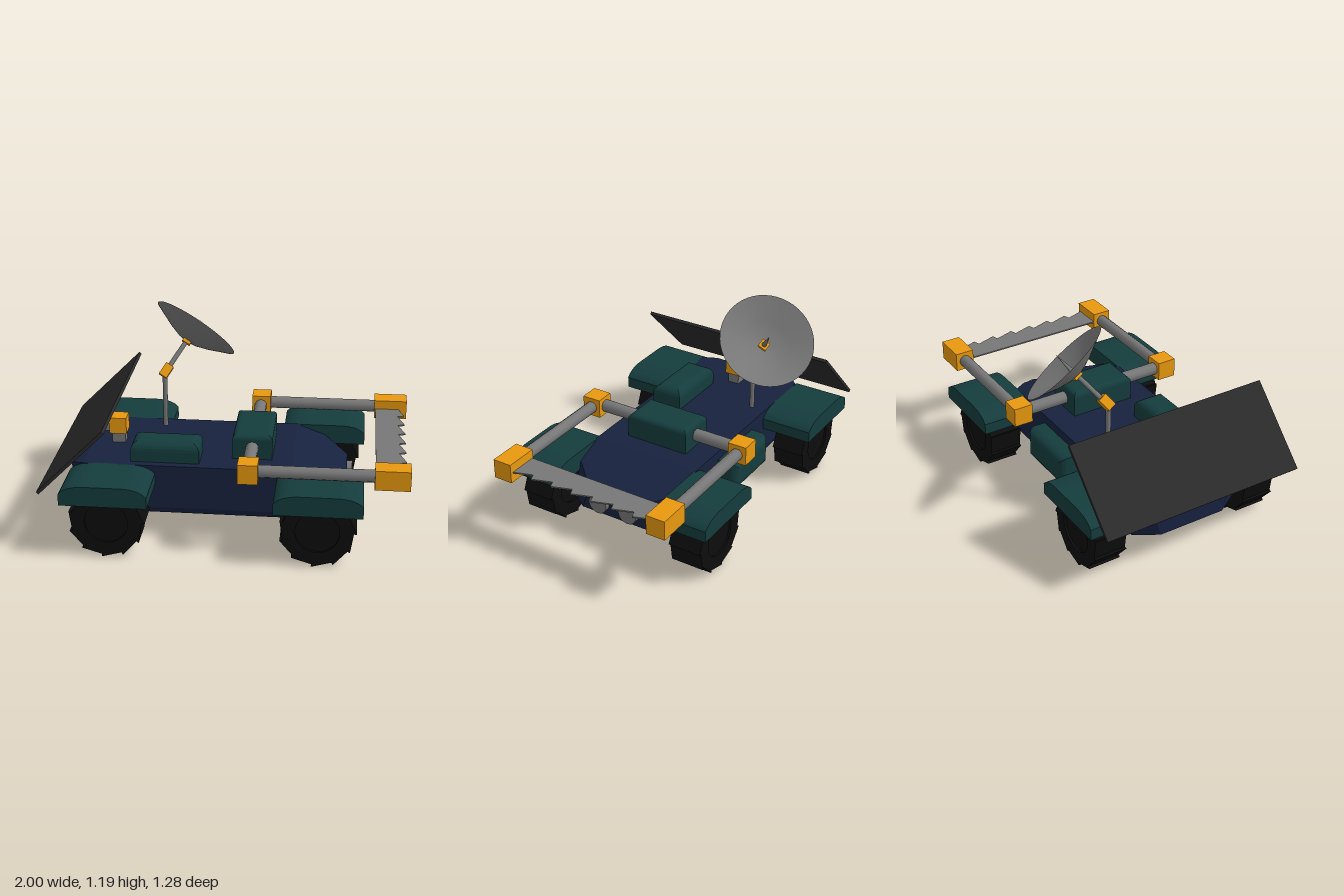
import * as THREE from 'three';
import { ConvexGeometry } from 'three/addons/geometries/ConvexGeometry.js';

const material = (color, side = THREE.FrontSide) =>
  new THREE.MeshStandardMaterial({ color, side });
const navy = material(0x17223f), teal = material(0x153c3d), orange = material(0xe8990f);
const grey = material(0x777777), dark = material(0x2a2a2a), rubber = material(0x0d0d0d);
const dishGrey = material(0x777777, THREE.DoubleSide);
const UP = new THREE.Vector3(0, 1, 0);

export function createModel() {
  const model = new THREE.Group();
  model.name = 'rover';

  const add = (name, geometry, mat, x = 0, y = 0, z = 0, parent = model) => {
    const mesh = new THREE.Mesh(geometry, mat);
    mesh.name = name;
    mesh.position.set(x, y, z);
    parent.add(mesh);
    return mesh;
  };
  const box = (name, mat, w, h, d, x, y, z, parent) =>
    add(name, new THREE.BoxGeometry(w, h, d), mat, x, y, z, parent);

  // Cylinder between two points
  const rod = (name, a, b, r, sides = 10) => {
    const from = new THREE.Vector3(...a), to = new THREE.Vector3(...b);
    const dir = to.clone().sub(from);
    const mesh = add(name, new THREE.CylinderGeometry(r, r, dir.length(), sides), grey);
    mesh.position.copy(from).add(to).multiplyScalar(0.5);
    mesh.quaternion.setFromUnitVectors(UP, dir.normalize());
    return mesh;
  };

  const polygon = (points) => new THREE.Shape(points.map((p) => new THREE.Vector2(...p)));

  // Box with rounded upper edges, top at y = 0; the lower bevel sits inside the hull
  const pod = (w, d, h, inset, round) => {
    const a = w / 2 - inset, b = d / 2 - inset;
    const g = new THREE.ExtrudeGeometry(polygon([[-a, -b], [a, -b], [a, b], [-a, b]]), {
      depth: h, bevelSize: inset, bevelThickness: round, bevelSegments: 5,
    });
    return g.rotateX(-Math.PI / 2).translate(0, -h - round, 0);
  };

  // Hull with chamfered nose and tail
  const hullPoints = [];
  for (const s of [-1, 1]) {
    for (const [x, y, z] of [
      [-0.88, 0.19, 0.2], [-0.88, 0.42, 0.27], [-0.8, 0.445, 0.33], [-0.8, 0.19, 0.33],
      [-0.7, 0.155, 0.32], [0.36, 0.445, 0.33], [0.52, 0.385, 0.33], [0.66, 0.335, 0.17],
      [0.66, 0.19, 0.22], [0.58, 0.19, 0.33], [0.5, 0.155, 0.32],
    ]) hullPoints.push(new THREE.Vector3(x, y, z * s));
  }
  add('hull', new ConvexGeometry(hullPoints), navy);

  // Headlights
  for (const z of [-0.097, 0.097]) {
    const lamp = add('headlight', new THREE.CylinderGeometry(0.057, 0.057, 0.05, 24), grey, 0.665, 0.265, z);
    lamp.rotation.z = -Math.PI / 2;
  }

  // Wheels with stepped treads, hubs and axles
  const tread = [];
  const teeth = 11;
  for (let i = 0; i < teeth; i++) {
    const a = (i / teeth) * Math.PI * 2, b = a + (Math.PI * 2) / teeth;
    tread.push([Math.cos(a) * 0.212, Math.sin(a) * 0.212], [Math.cos(b) * 0.196, Math.sin(b) * 0.196]);
  }
  const tyreShape = polygon(tread);
  tyreShape.holes.push(new THREE.Path().absarc(0, 0, 0.12, 0, Math.PI * 2, true));
  const tyre = new THREE.ExtrudeGeometry(tyreShape, { depth: 0.19, bevelEnabled: false, curveSegments: 20 })
    .translate(0, 0, -0.095);
  const hub = new THREE.CylinderGeometry(0.121, 0.121, 0.165, 24).rotateX(Math.PI / 2);
  for (const x of [-0.635, 0.515]) {
    rod('axle', [x, 0.21, -0.5], [x, 0.21, 0.5], 0.037, 16);
    for (const s of [-1, 1]) {
      const wheel = new THREE.Group();
      wheel.name = 'wheel';
      wheel.position.set(x, 0.208, 0.483 * s);
      add('tyre', tyre, rubber, 0, 0, 0, wheel);
      add('hub', hub, rubber, 0, 0, 0, wheel);
      model.add(wheel);
    }
  }

  // Fenders with a softly arched top
  const fenderShape = new THREE.Shape();
  fenderShape.moveTo(-0.24, 0.33);
  fenderShape.lineTo(0.24, 0.33);
  fenderShape.lineTo(0.24, 0.395);
  fenderShape.bezierCurveTo(0.22, 0.425, 0.17, 0.445, 0.1, 0.445);
  fenderShape.lineTo(-0.1, 0.445);
  fenderShape.bezierCurveTo(-0.17, 0.445, -0.22, 0.425, -0.24, 0.395);
  const fender = new THREE.ExtrudeGeometry(fenderShape, { depth: 0.31, bevelEnabled: false, curveSegments: 8 })
    .translate(0, 0, -0.155);
  for (const x of [-0.64, 0.517]) {
    for (const s of [-1, 1]) add('fender', fender, teal, x, 0, 0.477 * s);
  }

  // Equipment pods on deck and on the right flank
  add('deckPod', pod(0.385, 0.185, 0.1, 0.05, 0.05), teal, -0.35, 0.56, 0.192);
  add('frontPod', pod(0.225, 0.38, 0.14, 0.03, 0.03), teal, 0.13, 0.588, 0);
  add('sidePod', pod(0.385, 0.185, 0.1, 0.05, 0.05), teal, -0.07, 0.3, -0.447).rotation.x = -Math.PI / 2;

  // Cutter frame: cross bar, arms and corner blocks
  rod('crossBar', [0.13, 0.515, -0.48], [0.13, 0.515, 0.48], 0.036);
  for (const z of [-0.485, 0.485]) {
    rod('cutterArm', [0.13, 0.515, z], [0.88, 0.515, z], 0.035);
    box('armJoint', orange, 0.11, 0.112, 0.112, 0.133, 0.515, z);
    box('cutterHolder', orange, 0.19, 0.112, 0.112, 0.905, 0.515, z);
  }

  // Toothed cutter blade
  const blade = [[0.815, 0.45], [0.815, -0.45]];
  for (let i = 0; i < 7; i++) {
    const z = -0.45 + i * 0.1286;
    blade.push([0.945, z], [0.984, z + 0.115]);
  }
  blade.push([0.945, 0.45]);
  add('cutterBlade', new THREE.ExtrudeGeometry(polygon(blade), { depth: 0.008, bevelEnabled: false })
    .rotateX(Math.PI / 2), grey, 0, 0.519, 0);

  // Tilted rear panel and its mount
  box('solarPanel', dark, 0.525, 0.018, 1.215, -0.812, 0.57, 0).rotation.z = Math.PI / 4;
  box('panelPost', grey, 0.075, 0.12, 0.07, -0.652, 0.47, 0);
  box('panelJoint', orange, 0.098, 0.095, 0.098, -0.654, 0.552, 0);
  const arm = polygon([[-0.68, 0.515], [-0.68, 0.59], [-0.79, 0.59], [-0.865, 0.515]]);
  add('panelArm', new THREE.ExtrudeGeometry(arm, { depth: 0.07, bevelEnabled: false }), grey, 0, 0, -0.035);

  // Antenna mast
  const axis = new THREE.Vector3(0.5, Math.SQRT1_2, -0.5);
  rod('mast', [-0.42, 0.43, -0.24], [-0.42, 0.785, -0.24], 0.014);
  rod('dishArm', [-0.415, 0.78, -0.25], [-0.305, 0.935, -0.365], 0.014);

  // Dish head, tilted along its axis
  const head = new THREE.Group();
  head.name = 'dishHead';
  head.position.set(-0.303, 0.932, -0.365);
  head.quaternion.setFromUnitVectors(UP, axis);
  model.add(head);
  const profile = [[0, 0], [0.07, 0.008], [0.14, 0.034], [0.268, 0.093]];
  add('dish', new THREE.LatheGeometry(profile.map((p) => new THREE.Vector2(...p)), 48), dishGrey, 0, 0, 0, head);
  add('feed', new THREE.ConeGeometry(0.016, 0.15, 10), grey, 0, 0.08, 0, head);
  box('dishJoint', orange, 0.05, 0.035, 0.05, 0, 0.002, 0, head);
  box('mastJoint', orange, 0.052, 0.078, 0.052, -0.413, 0.785, -0.25).quaternion.copy(head.quaternion);

  return model;
}
